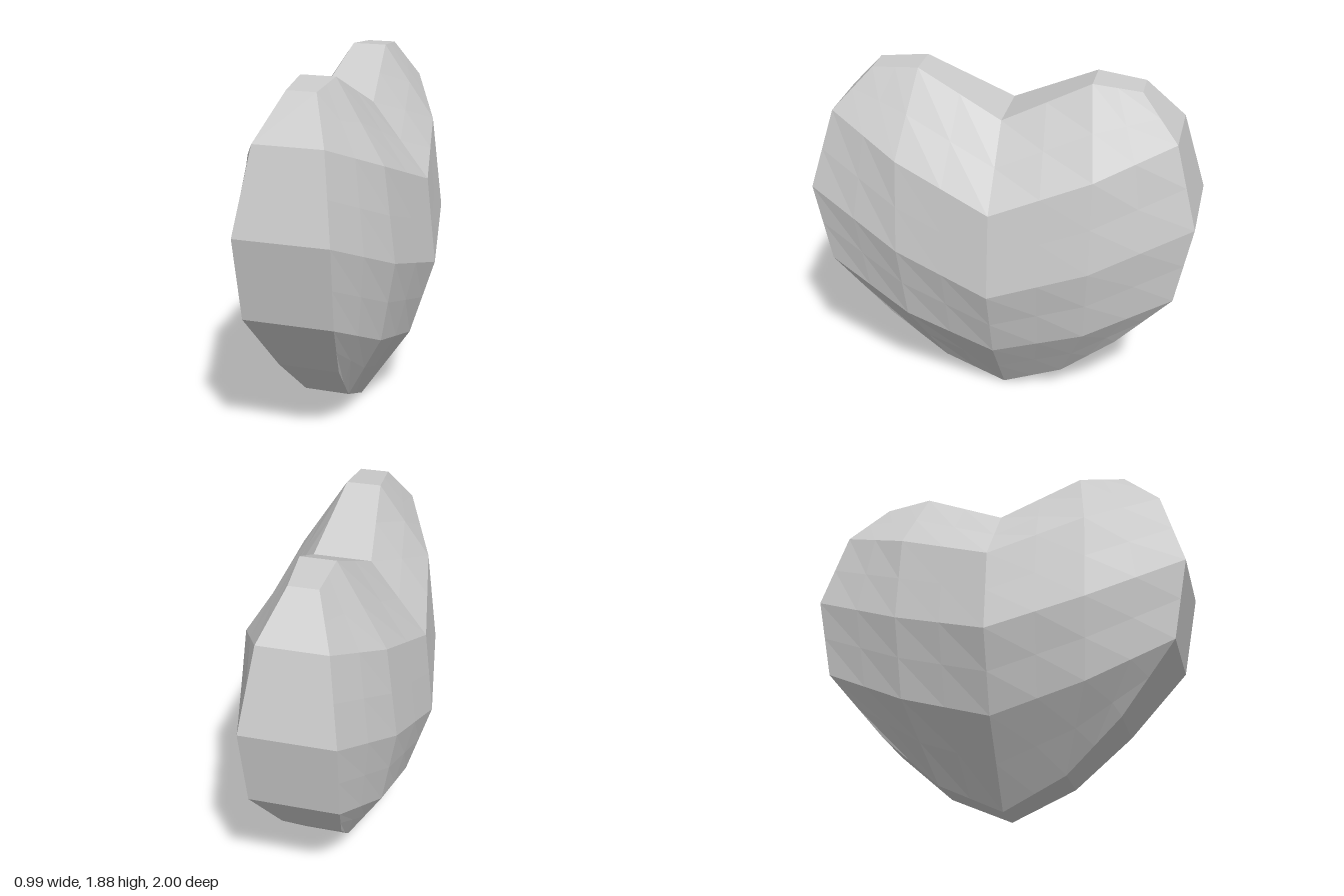
import * as THREE from 'three';

// Quarter of the heart as a grid of [x, y, z]: rows run top to bottom,
// columns run from the middle line out to the rim.
const ROWS = [
  [[0.15, 1.67, 0], [0.09, 1.885, 0.44], [0.075, 1.86, 0.685]],
  [[0.445, 1.285, 0], [0.35, 1.48, 0.5], [0.175, 1.645, 0.88]],
  [[0.495, 0.83, 0], [0.41, 0.99, 0.5], [0.24, 1.22, 1]],
  [[0.365, 0.41, 0], [0.335, 0.56, 0.475], [0.23, 0.785, 0.92]],
  [[0.095, 0, 0], [0.12, 0.155, 0.33], [0.16, 0.425, 0.625]],
];
const SUB = 2; // splits of each slightly twisted panel

// Grid point with column -2..2, mirrored across z
function gridPoint(row, col) {
  const [x, y, z] = ROWS[row][Math.abs(col)];
  return new THREE.Vector3(x, y, col < 0 ? -z : z);
}

const flip = (p) => new THREE.Vector3(-p.x, p.y, p.z);

// Point inside a panel, u along the columns and v down the rows
function panelPoint(row, col, u, v) {
  const top = gridPoint(row, col).lerp(gridPoint(row, col + 1), u);
  const bottom = gridPoint(row + 1, col).lerp(gridPoint(row + 1, col + 1), u);
  return top.lerp(bottom, v);
}

function quadsMesh(name, quads, material) {
  const points = quads.flatMap(([a, b, c, d]) => [a, b, c, a, c, d]);
  const geometry = new THREE.BufferGeometry().setFromPoints(points);
  geometry.computeVertexNormals();
  const mesh = new THREE.Mesh(geometry, material);
  mesh.name = name;
  return mesh;
}

export function createModel() {
  const group = new THREE.Group();
  group.name = 'heart';
  const material = new THREE.MeshStandardMaterial({ color: 0xcccccc, flatShading: true });

  // Domed side panels
  const left = [];
  for (let row = 0; row < 4; row++) {
    for (let col = -2; col < 2; col++) {
      for (let i = 0; i < SUB; i++) {
        for (let j = 0; j < SUB; j++) {
          const at = (u, v) => panelPoint(row, col, u / SUB, v / SUB);
          left.push([at(i + 1, j), at(i + 1, j + 1), at(i, j + 1), at(i, j)]);
        }
      }
    }
  }
  const right = left.map((quad) => quad.map(flip).reverse());
  group.add(quadsMesh('leftSide', left, material));
  group.add(quadsMesh('rightSide', right, material));

  // Rim band joining both sides, walked once round the outline
  const outline = [];
  for (let i = -2; i < 2; i++) outline.push(gridPoint(0, i));
  for (let i = 0; i < 4; i++) outline.push(gridPoint(i, 2));
  for (let i = 2; i > -2; i--) outline.push(gridPoint(4, i));
  for (let i = 4; i > 0; i--) outline.push(gridPoint(i, -2));
  const rim = outline.map((p, i) => {
    const q = outline[(i + 1) % outline.length];
    return [p, flip(p), flip(q), q];
  });
  group.add(quadsMesh('rim', rim, material));

  return group;
}
